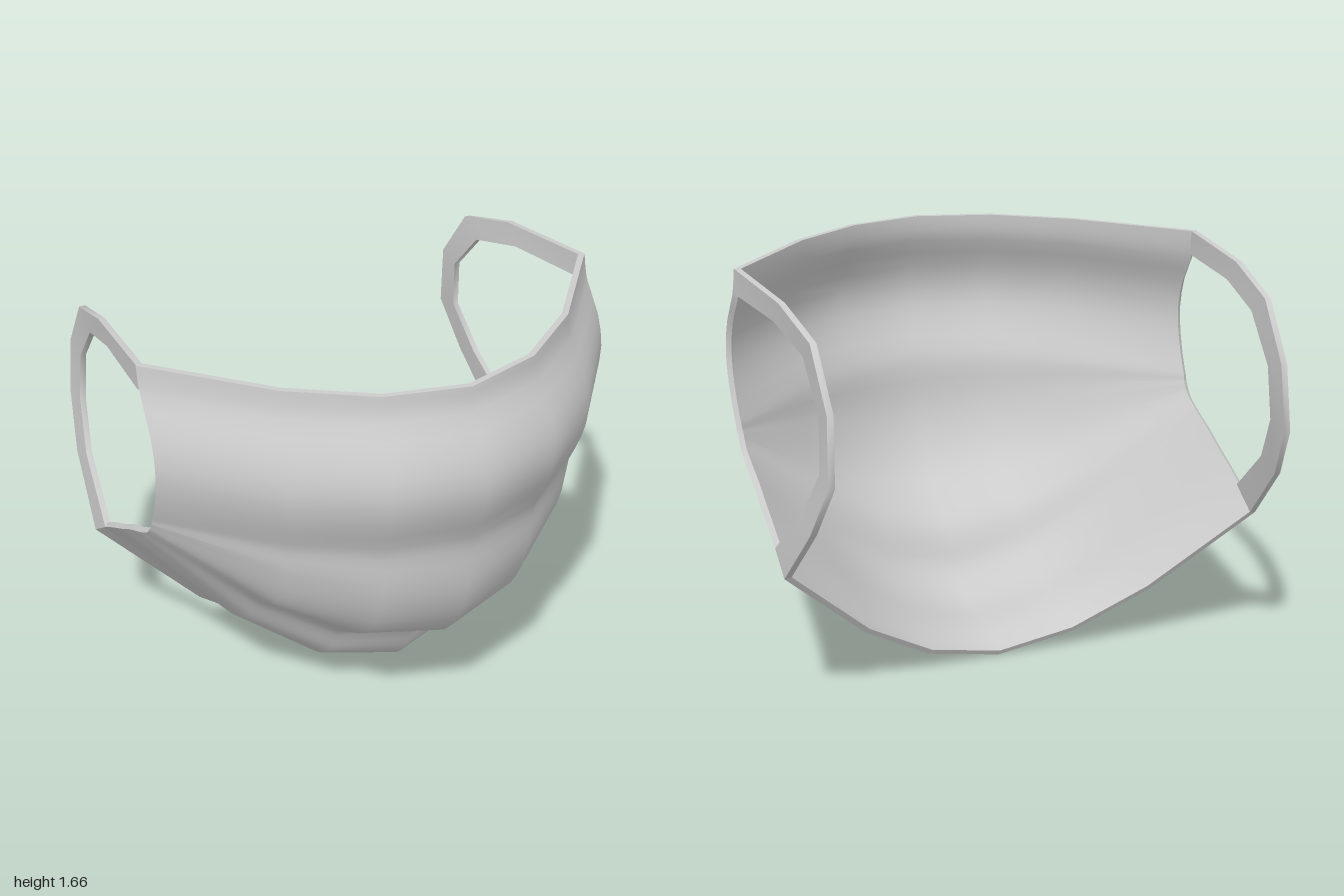
import * as THREE from 'three';
import { toCreasedNormals } from 'three/addons/utils/BufferGeometryUtils.js';

const THICK = 0.025;

// Rows from top rim to chin rim: centre z, centre y, side z, side y
const ROWS = [
  [0.78, 1.66, 0.05, 1.66], [0.785, 1.61, 0.06, 1.61], [0.8, 1.56, 0.08, 1.55],
  [0.87, 1.43, 0.16, 1.43], [0.9, 1.3, 0.195, 1.3], [0.875, 1.17, 0.175, 1.17],
  [0.82, 1.04, 0.12, 1.04], [0.805, 0.97, 0.105, 1.015], [0.8, 0.86, 0.1, 1.0],
  [0.78, 0.74, 0.09, 0.985], [0.72, 0.6, 0.08, 0.97], [0.63, 0.49, 0.07, 0.955],
  [0.5, 0.41, 0.06, 0.945], [0.39, 0.345, 0.045, 0.93], [0.345, 0.26, 0, 0.905],
  [0.31, 0.185, -0.05, 0.88], [0.23, 0.115, -0.13, 0.845], [0.12, 0.07, -0.22, 0.795],
  [0, 0.06, -0.32, 0.745], [-0.09, 0.05, -0.42, 0.69], [-0.15, 0.03, -0.48, 0.65],
  [-0.21, 0, -0.54, 0.61],
];

// Columns across the face: x, blend from centre profile to side profile, x bulge
const HALF = [[0.32, 0.12, 0.25], [0.62, 0.42, 0.25], [0.99, 1, 0.08]];
const COLUMNS = [
  ...HALF.map(([x, w, b]) => [-x, w, -b]).reverse(), [0, 0, 0], ...HALF,
];

// Ear loop stations: outer edge z, y, inner edge z, y, then x
const LOOP = [
  [0.05, 1.66, 0.05, 1.56, 0.988], [-0.42, 1.63, -0.35, 1.545, 0.945],
  [-0.71, 1.55, -0.61, 1.48, 0.915], [-0.87, 1.33, -0.77, 1.3, 0.907],
  [-0.9, 1.07, -0.79, 1.09, 0.918], [-0.78, 0.86, -0.67, 0.9, 0.955],
  [-0.54, 0.61, -0.42, 0.69, 0.99],
];

function indexed(positions, index) {
  const geo = new THREE.BufferGeometry();
  geo.setAttribute('position', new THREE.Float32BufferAttribute(positions, 3));
  geo.setIndex(index);
  return geo;
}

// Curved shell: outer skin, inner skin offset along the normals, and a rim
function shellGeometry() {
  const curve = (k) => new THREE.CatmullRomCurve3(
    ROWS.map((r) => new THREE.Vector3(0, r[k + 1], r[k])));
  const centre = curve(0), side = curve(2);
  const rows = (ROWS.length - 1) * 2, n = COLUMNS.length;
  const pos = [], index = [];
  for (let i = 0; i <= rows; i++) {
    const c = centre.getPoint(i / rows), s = side.getPoint(i / rows);
    const bulge = Math.max(0, c.z - 0.78);
    for (const [x, w, b] of COLUMNS) {
      const p = c.clone().lerp(s, w);
      pos.push(x + b * bulge, p.y, p.z);
    }
  }
  for (let i = 0; i < rows; i++) {
    for (let j = 0; j < n - 1; j++) {
      const a = i * n + j, c = a + n;
      index.push(a, c, a + 1, a + 1, c, c + 1);
    }
  }
  const skin = indexed(pos, index);
  skin.computeVertexNormals();
  const normal = skin.attributes.normal.array;
  const count = pos.length / 3;
  const inner = pos.map((v, k) => v - normal[k] * THICK);
  // Keep both rims level with the outer skin
  for (let j = 0; j < n; j++) {
    inner[j * 3 + 1] = pos[j * 3 + 1];
  }
  const all = [...index];
  for (let k = 0; k < index.length; k += 3) {
    all.push(index[k] + count, index[k + 2] + count, index[k + 1] + count);
  }
  // Border, walked down the right, along the chin, up the left and back
  const border = [];
  for (let i = 0; i < rows; i++) border.push(i * n);
  for (let j = 0; j < n - 1; j++) border.push(rows * n + j);
  for (let i = rows; i > 0; i--) border.push(i * n + n - 1);
  for (let j = n - 1; j > 0; j--) border.push(j);
  border.forEach((p, k) => {
    const q = border[(k + 1) % border.length];
    all.push(q, p, p + count, q, p + count, q + count);
  });
  return toCreasedNormals(indexed([...pos, ...inner], all), 1.0);
}

// Flat strap with a four-cornered section
function loopGeometry(sign) {
  const pos = [], index = [];
  for (const [oz, oy, iz, iy, x] of LOOP) {
    const a = sign * x, b = sign * (x - THICK);
    pos.push(a, oy, oz, a, iy, iz, b, iy, iz, b, oy, oz);
  }
  const quad = (a, b, d, c) => index.push(
    ...(sign > 0 ? [a, b, d, a, d, c] : [a, d, b, a, c, d]));
  for (let k = 0; k < LOOP.length - 1; k++) {
    for (let e = 0; e < 4; e++) {
      const a = k * 4 + e, b = k * 4 + ((e + 1) % 4);
      quad(a, b, b + 4, a + 4);
    }
  }
  // End caps
  const last = (LOOP.length - 1) * 4;
  quad(0, 3, 2, 1);
  quad(last, last + 1, last + 2, last + 3);
  return toCreasedNormals(indexed(pos, index), 0.9);
}

export function createModel() {
  const model = new THREE.Group();
  model.name = 'faceMask';
  const material = new THREE.MeshStandardMaterial({ color: 0xcccccc });
  const add = (name, geometry) => {
    const mesh = new THREE.Mesh(geometry, material);
    mesh.name = name;
    model.add(mesh);
  };
  add('maskShell', shellGeometry());
  add('leftEarLoop', loopGeometry(1));
  add('rightEarLoop', loopGeometry(-1));
  return model;
}
